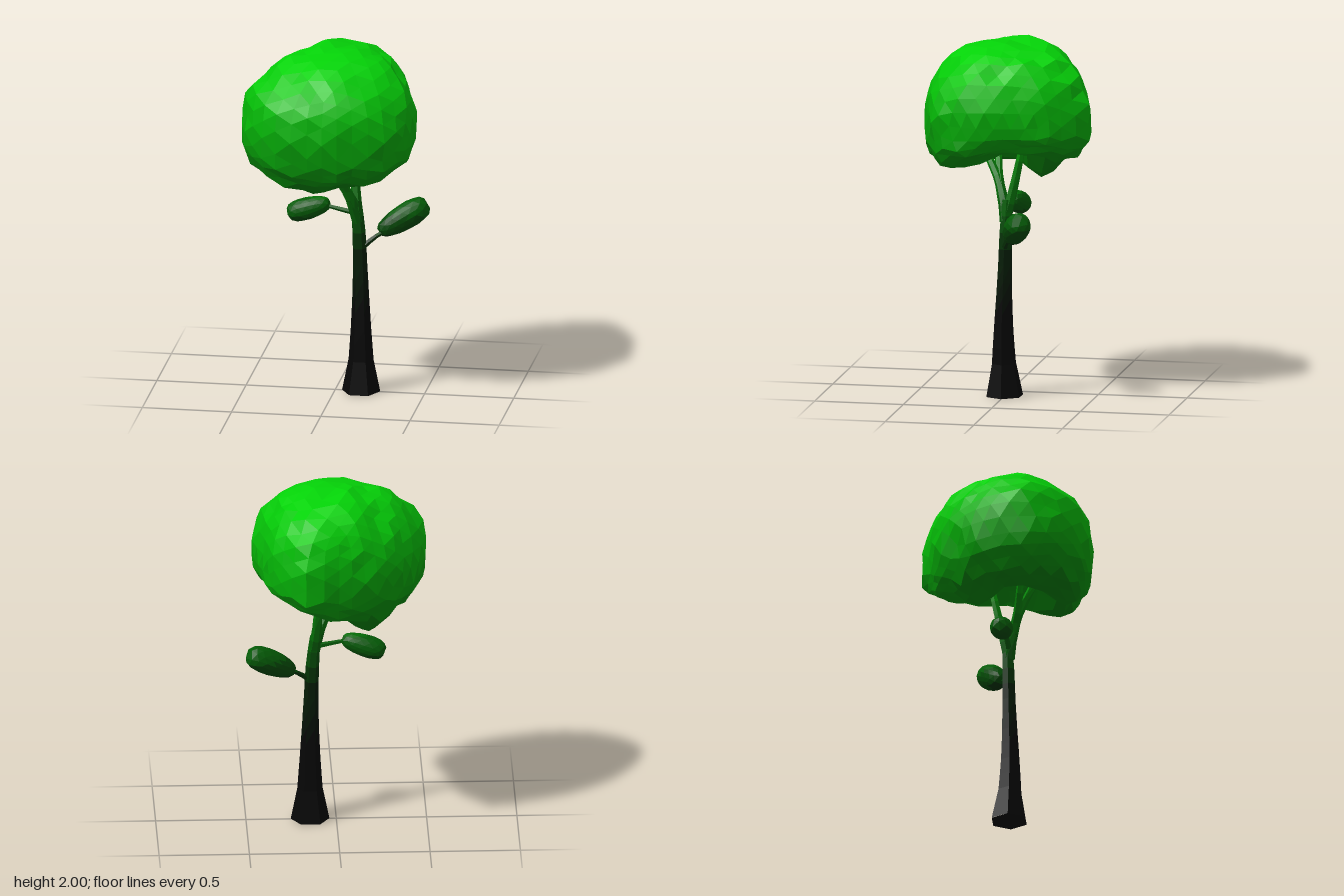
import * as THREE from 'three';
import { mergeGeometries } from 'three/addons/utils/BufferGeometryUtils.js';

const V = (x, y, z) => new THREE.Vector3(x, y, z);

// Height gradient: nearly black at the foot, bright green at the top
const stops = [[0, 0x060606], [0.45, 0x060606], [0.8, 0x041e05], [1.0, 0x045006],
  [1.25, 0x047a06], [1.6, 0x04ac06], [2.0, 0x04d808]];
function colorAt(y) {
  let i = 0;
  while (i < stops.length - 2 && y > stops[i + 1][0]) i++;
  const t = THREE.MathUtils.clamp((y - stops[i][0]) / (stops[i + 1][0] - stops[i][0]), 0, 1);
  return new THREE.Color(stops[i][1]).lerp(new THREE.Color(stops[i + 1][1]), t);
}

// Splits a geometry by face height into flat-shaded meshes that follow the gradient
const BAND = 0.1;
function shaded(name, geometry) {
  const group = new THREE.Group();
  group.name = name;
  const p = (geometry.index ? geometry.toNonIndexed() : geometry).attributes.position;
  const bands = new Map();
  for (let i = 0; i < p.count; i += 3) {
    const k = Math.floor((p.getY(i) + p.getY(i + 1) + p.getY(i + 2)) / 3 / BAND);
    if (!bands.has(k)) bands.set(k, []);
    for (let j = i; j < i + 3; j++) bands.get(k).push(p.getX(j), p.getY(j), p.getZ(j));
  }
  for (const [k, coords] of bands) {
    const g = new THREE.BufferGeometry();
    g.setAttribute('position', new THREE.Float32BufferAttribute(coords, 3));
    g.computeVertexNormals();
    const mesh = new THREE.Mesh(g, new THREE.MeshStandardMaterial({
      color: colorAt((k + 0.5) * BAND), flatShading: true }));
    mesh.name = name + 'Band';
    group.add(mesh);
  }
  return group;
}

// Tapered tube: radii are spread evenly along the path
function limb(points, radii, sides, steps) {
  const curve = new THREE.CatmullRomCurve3(points);
  const g = new THREE.TubeGeometry(curve, steps, 1, sides);
  const p = g.attributes.position, v = V(0, 0, 0);
  for (let i = 0; i < p.count; i++) {
    const t = Math.floor(i / (sides + 1)) / steps;
    const s = t * (radii.length - 1), a = Math.min(Math.floor(s), radii.length - 2);
    const r = THREE.MathUtils.lerp(radii[a], radii[a + 1], s - a);
    const c = curve.getPointAt(t);
    v.fromBufferAttribute(p, i).sub(c).multiplyScalar(r).add(c);
    p.setXYZ(i, v.x, v.y, v.z);
  }
  return g;
}

// Egg-shaped leaf clump stretched between two points, thicker at the far end
function clump(from, to, radius) {
  const axis = to.clone().sub(from), length = axis.length();
  const g = new THREE.IcosahedronGeometry(1, 2);
  const p = g.attributes.position;
  for (let i = 0; i < p.count; i++) {
    const y = p.getY(i), flat = Math.hypot(p.getX(i), p.getZ(i));
    const w = radius * (1 + 0.15 * y) * Math.pow(flat, -0.4);
    p.setXYZ(i, p.getX(i) * w, y * length / 2, p.getZ(i) * w);
  }
  g.applyQuaternion(new THREE.Quaternion().setFromUnitVectors(V(0, 1, 0), axis.normalize()));
  return g.translate(...from.clone().add(to).multiplyScalar(0.5).toArray());
}

// Crown outline radius and underside height, listed around the crown from +x towards +z
const outline = [0.455, 0.49, 0.5, 0.46, 0.48, 0.495, 0.54, 0.535, 0.495, 0.435, 0.4, 0.41, 0.435, 0.525, 0.475, 0.44];
const underside = [1.38, 1.26, 1.2, 1.22, 1.22, 1.14, 1.28, 1.36];
function around(list, angle) {
  const n = list.length, s = ((angle / (2 * Math.PI) + 1) % 1) * n, i = Math.floor(s);
  return THREE.MathUtils.lerp(list[i % n], list[(i + 1) % n], s - i);
}

// Faceted sphere reshaped to the outline, with an uneven rim and a hollow below
function crownGeometry() {
  const g = new THREE.IcosahedronGeometry(1, 5);
  const p = g.attributes.position, d = V(0, 0, 0), MID = 1.56;
  for (let i = 0; i < p.count; i++) {
    d.fromBufferAttribute(p, i);
    const flat = Math.hypot(d.x, d.z), angle = Math.atan2(d.z, d.x);
    const lump = 0.02 * Math.sin(7 * d.x + 3 * d.y) * Math.sin(6 * d.z - 4 * d.y + 1)
      + 0.014 * Math.sin(13 * d.x + 9 * d.z + 2) * Math.sin(12 * d.y + 5 * d.z)
      + 0.01 * Math.sin(23 * d.x - 19 * d.y + 17 * d.z);
    const right = Math.max(0, -Math.cos(angle)), front = Math.sin(angle);
    let y, power;
    if (d.y >= 0) {
      power = 0.82 + 0.25 * right + 0.13 * front;
      y = MID + 0.425 * Math.pow(d.y, 0.9) + 0.7 * lump * d.y;
    } else {
      power = 0.75 + 0.25 * right - 0.22 * Math.max(0, front);
      const rim = THREE.MathUtils.smoothstep(flat, 0, 0.5);
      const bottom = THREE.MathUtils.lerp(1.41, around(underside, angle), rim);
      y = MID - (MID - bottom) * Math.pow(-d.y, 0.62 + 0.1 * right) + lump * d.y;
    }
    const r = around(outline, angle) * Math.pow(flat, power) * (1 + lump);
    p.setXYZ(i, r * Math.cos(angle), y, r * Math.sin(angle));
  }
  return g;
}

export function createModel() {
  const tree = new THREE.Group();
  tree.name = 'tree';

  // Trunk with flared foot and closed underside
  const trunk = limb([V(0.145, 0, 0), V(0.145, 0.35, 0.006), V(0.14, 0.7, 0),
    V(0.13, 0.95, -0.005), V(0.115, 1.1, -0.01)],
  [0.107, 0.07, 0.057, 0.047, 0.04, 0.037, 0.03], 6, 12);
  const foot = new THREE.CircleGeometry(0.107, 6).rotateX(Math.PI / 2).translate(0.145, 0, 0);
  tree.add(shaded('trunk', mergeGeometries([trunk, foot])));

  // Branches forking up into the crown
  const branches = [
    [V(0.125, 1.0, -0.005), V(0.105, 1.2, -0.05), V(0.11, 1.48, -0.11)],
    [V(0.125, 0.98, 0), V(0.07, 1.17, 0.04), V(-0.06, 1.42, 0.19)],
    [V(0.11, 1.07, 0.01), V(0.05, 1.2, 0.05), V(-0.08, 1.35, 0.08)],
  ];
  for (const path of branches) tree.add(shaded('branch', limb(path, [0.032, 0.024, 0.018], 6, 6)));

  // Side twigs, each with a leaf clump
  const sides = [
    ['left', [V(0.15, 0.83, 0), V(0.21, 0.88, -0.025), V(0.3, 0.93, -0.08)],
      V(0.235, 0.905, -0.055), V(0.492, 1.055, -0.16), 0.072],
    ['right', [V(0.12, 1.03, 0), V(0.04, 1.045, 0), V(-0.08, 1.07, -0.005)],
      V(-0.03, 1.08, -0.01), V(-0.27, 1.0, -0.02), 0.062],
  ];
  for (const [side, path, from, to, radius] of sides) {
    tree.add(shaded(side + 'Twig', limb(path, [0.017, 0.013, 0.01], 5, 4)));
    tree.add(shaded(side + 'LeafClump', clump(from, to, radius)));
  }

  tree.add(shaded('crown', crownGeometry()));
  return tree;
}
